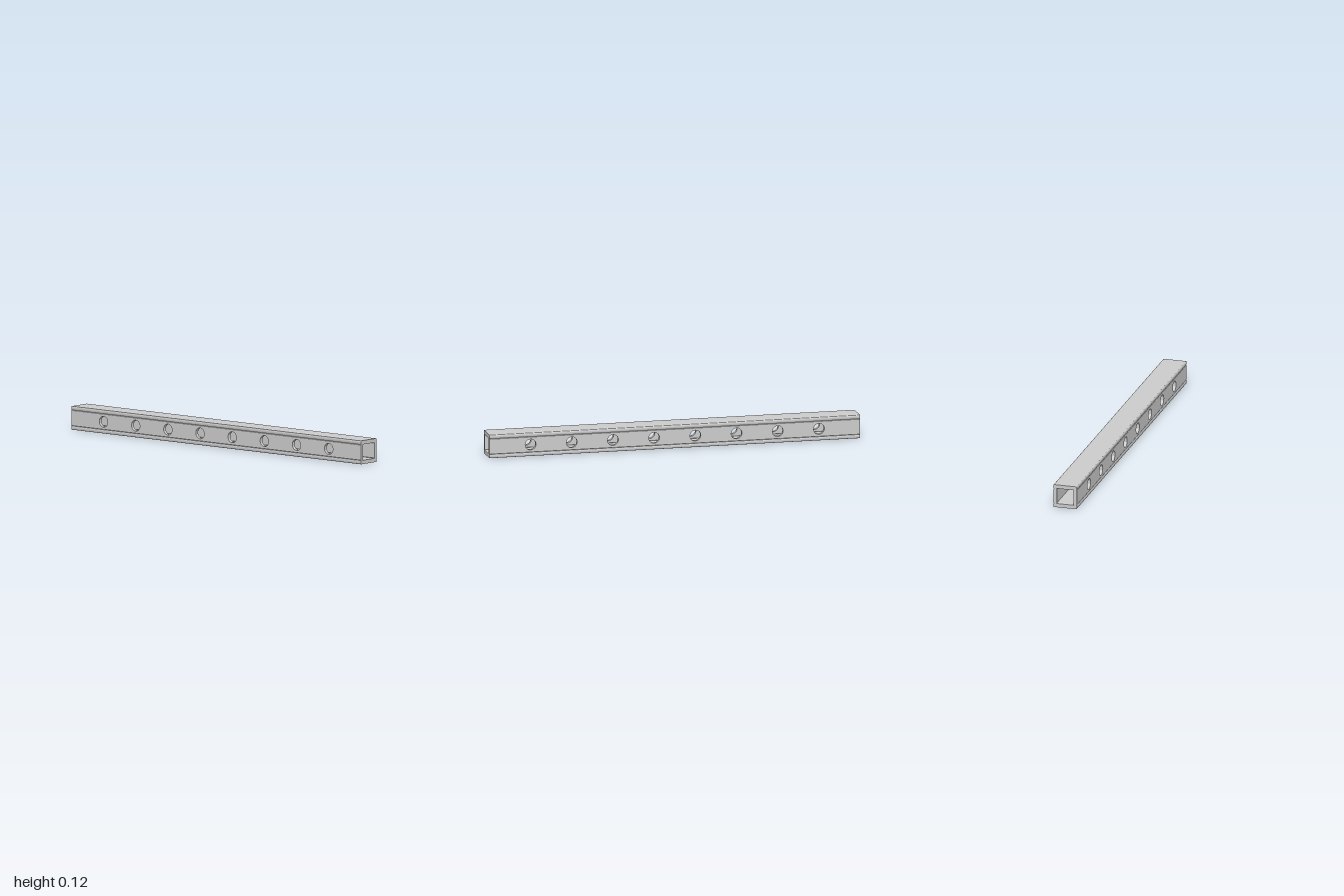
import * as THREE from 'three';
import { toCreasedNormals } from 'three/addons/utils/BufferGeometryUtils.js';

const LENGTH = 2, HEIGHT = 0.125, WIDTH = 0.128;
const THICK = 0.0205, SIDE_THICK = 0.0185, ROUND = 0.004;
const HOLES = 8, HOLE_RADIUS = 0.029, HOLE_STEP = LENGTH / 9;

const material = new THREE.MeshStandardMaterial({ color: 0xcccccc });

function addMesh(parent, name, geometry) {
  const mesh = new THREE.Mesh(toCreasedNormals(geometry, Math.PI / 5), material);
  mesh.name = name;
  parent.add(mesh);
  return mesh;
}

// Cross-section from y0 to y1, rounded at the top and optionally at the bottom
function section(w, y0, y1, roundBottom) {
  const x = w / 2, r = ROUND, b = roundBottom ? r : 0;
  const s = new THREE.Shape();
  s.moveTo(-x + b, y0);
  s.lineTo(x - b, y0);
  if (b) s.absarc(x - r, y0 + r, r, -Math.PI / 2, 0);
  s.lineTo(x, y1 - r);
  s.absarc(x - r, y1 - r, r, 0, Math.PI / 2);
  s.lineTo(-x + r, y1);
  s.absarc(-x + r, y1 - r, r, Math.PI / 2, Math.PI);
  s.lineTo(-x, y0 + b);
  if (b) s.absarc(-x + r, y0 + r, r, Math.PI, Math.PI * 1.5);
  return s;
}

// Run a cross-section along the whole beam
function alongBeam(shape) {
  return new THREE.ExtrudeGeometry(shape, { depth: LENGTH, bevelEnabled: false, curveSegments: 5 })
    .translate(0, 0, -LENGTH / 2)
    .rotateY(Math.PI / 2);
}

// Upright plank: pierced flat web with a rounded edge above and below
function sidePlank(name) {
  const plank = new THREE.Group();
  plank.name = name;
  const half = HEIGHT / 2 - THICK, flat = half - ROUND, x = LENGTH / 2;
  const web = new THREE.Shape([
    new THREE.Vector2(-x, -flat), new THREE.Vector2(x, -flat),
    new THREE.Vector2(x, flat), new THREE.Vector2(-x, flat),
  ]);
  for (let i = 0; i < HOLES; i++) {
    const hole = new THREE.Path();
    hole.absarc((i - (HOLES - 1) / 2) * HOLE_STEP, 0, HOLE_RADIUS, 0, Math.PI * 2, true);
    web.holes.push(hole);
  }
  addMesh(plank, 'piercedWeb', new THREE.ExtrudeGeometry(web, {
    depth: SIDE_THICK, bevelEnabled: false, curveSegments: 32,
  }).translate(0, 0, -SIDE_THICK / 2));
  const edge = section(SIDE_THICK, flat, half, false);
  addMesh(plank, 'upperEdge', alongBeam(edge));
  addMesh(plank, 'lowerEdge', alongBeam(edge).rotateX(Math.PI));
  return plank;
}

export function createModel() {
  const beam = new THREE.Group();
  beam.name = 'hollowBeam';

  // Top and bottom planks
  addMesh(beam, 'bottomPlank', alongBeam(section(WIDTH, 0, THICK, true)));
  addMesh(beam, 'topPlank', alongBeam(section(WIDTH, HEIGHT - THICK, HEIGHT, true)));

  // Front and back planks with matching holes
  for (const [name, side] of [['frontPlank', 1], ['backPlank', -1]]) {
    const plank = sidePlank(name);
    plank.position.set(0, HEIGHT / 2, side * (WIDTH - SIDE_THICK) / 2);
    beam.add(plank);
  }
  return beam;
}
